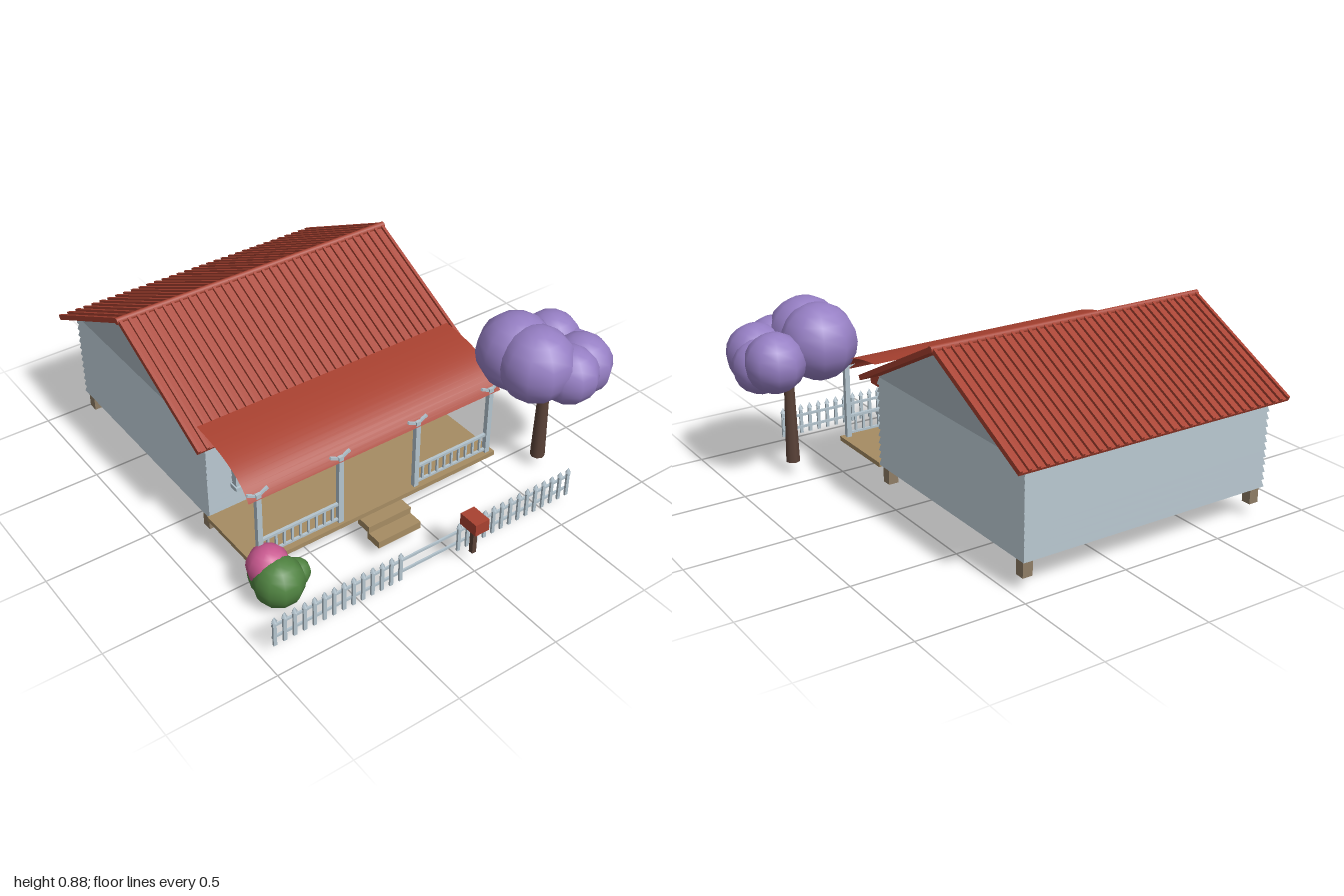
import * as THREE from 'three';

const mat = (name, color, side = THREE.FrontSide) => {
  const m = new THREE.MeshStandardMaterial({ color, side });
  m.name = name;
  return m;
};

export function createModel() {
  const root = new THREE.Group();
  root.name = 'cottage';
  const red = mat('iron red', 0xa84130, THREE.DoubleSide);
  const wall = mat('weatherboard grey', 0xaab8c0);
  const trim = mat('trim pale grey', 0xb4c4ce);
  const glass = mat('window teal', 0x64949a);
  const timber = mat('deck timber', 0xa68c63);
  const stumpMat = mat('stump brown', 0x8f7d66);
  const bark = mat('bark brown', 0x5a4238);
  const purple = mat('blossom purple', 0x967fc4);
  const pink = mat('flower pink', 0xc8588f);
  const green = mat('leaf green', 0x4f8240);

  const group = (name, parent = root) => {
    const g = new THREE.Group();
    g.name = name;
    parent.add(g);
    return g;
  };
  const add = (name, geo, m, parent = root) => {
    const mesh = new THREE.Mesh(geo, m);
    mesh.name = name;
    parent.add(mesh);
    return mesh;
  };
  // box given by its min and max along each axis
  const box = (name, m, x0, x1, y0, y1, z0, z1, parent = root) => {
    const mesh = add(name, new THREE.BoxGeometry(x1 - x0, y1 - y0, z1 - z0), m, parent);
    mesh.position.set((x0 + x1) / 2, (y0 + y1) / 2, (z0 + z1) / 2);
    return mesh;
  };

  const CX = -0.173, CZ = -0.37; // centre of the house

  // weatherboards: each board is a ring that flares out at its lower edge
  const house = group('house');
  const boards = 12, y0 = 0.14, boardH = 0.425 / boards;
  for (let i = 0; i < boards; i++) {
    const geo = new THREE.BoxGeometry(1.28, boardH, 1.14);
    const p = geo.attributes.position;
    for (let k = 0; k < p.count; k++) {
      if (p.getY(k) > 0) {
        p.setX(k, p.getX(k) - Math.sign(p.getX(k)) * 0.009);
        p.setZ(k, p.getZ(k) - Math.sign(p.getZ(k)) * 0.009);
      }
    }
    geo.computeVertexNormals();
    add('weatherboard', geo, wall, house).position.set(CX, y0 + (i + 0.5) * boardH, CZ);
  }

  // gable ends
  const gable = new THREE.Shape([
    new THREE.Vector2(-0.565, 0), new THREE.Vector2(0.565, 0), new THREE.Vector2(0, 0.288)]);
  const gableGeo = new THREE.ExtrudeGeometry(gable, { depth: 1.268, bevelEnabled: false });
  gableGeo.translate(0, 0, -0.634);
  gableGeo.rotateY(Math.PI / 2);
  add('gable', gableGeo, wall, house).position.set(CX, 0.564, CZ);

  // stumps under the corners
  for (const x of [-0.78, 0.432]) for (const z of [0.158, -0.895])
    box('stump', stumpMat, x - 0.024, x + 0.024, 0.06, 0.14, z - 0.024, z + 0.024, house);

  // ribbed iron roof, two mirrored slopes
  const roof = group('roof');
  const run = 0.623, drop = 0.315, len = Math.hypot(run, drop);
  for (const turn of [0, Math.PI]) {
    const side = group('roofSide', roof);
    side.position.set(CX, 0.876, CZ);
    side.rotation.y = turn;
    const slope = group('roofSlope', side);
    slope.rotation.x = Math.atan2(drop, run);
    box('roofSheet', red, -0.7, 0.7, -0.018, -0.006, 0, len, slope);
    const ribs = 34;
    for (let i = 0; i < ribs; i++) {
      const x = -0.693 + (1.386 * i) / (ribs - 1);
      box('roofRib', red, x - 0.007, x + 0.007, -0.008, 0.006, 0, len, slope);
    }
  }
  const ridge = add('ridgeCap', new THREE.CylinderGeometry(0.016, 0.016, 1.415, 8), red, roof);
  ridge.rotation.z = Math.PI / 2;
  ridge.position.set(CX, 0.868, CZ);

  // curved veranda roof: one thin sheet swept along x
  const curve = new THREE.QuadraticBezierCurve3(
    new THREE.Vector3(0, 0.63, 0.18), new THREE.Vector3(0, 0.61, 0.49), new THREE.Vector3(0, 0.48, 0.56));
  const sheet = new THREE.PlaneGeometry(1.315, 1, 1, 14);
  const sp = sheet.attributes.position;
  for (let k = 0; k < sp.count; k++) {
    const c = curve.getPoint(0.5 - sp.getY(k));
    sp.setXYZ(k, sp.getX(k) + CX, c.y, c.z);
  }
  sheet.computeVertexNormals();
  add('verandaRoof', sheet, red);

  // veranda deck and steps
  const veranda = group('veranda');
  box('deck', timber, -0.82, 0.47, 0.128, 0.15, 0.195, 0.57, veranda);
  box('upperStep', timber, -0.285, -0.06, 0.095, 0.128, 0.555, 0.635, veranda);
  box('lowerStep', timber, -0.285, -0.06, 0.06, 0.095, 0.625, 0.705, veranda);

  // posts with forked brackets
  const posts = [-0.78, -0.375, 0.03, 0.437];
  for (const x of posts) {
    box('post', trim, x - 0.012, x + 0.012, 0.15, 0.505, 0.535, 0.558, veranda);
    for (const s of [-1, 1]) {
      const arm = add('bracket', new THREE.BoxGeometry(0.055, 0.011, 0.012), trim, veranda);
      arm.position.set(x + s * 0.025, 0.503, 0.547);
      arm.rotation.z = s * 0.45;
    }
  }
  // railings in the outer bays
  for (const [a, b] of [[posts[0], posts[1]], [posts[2], posts[3]]]) {
    box('handrail', trim, a, b, 0.245, 0.257, 0.54, 0.554, veranda);
    box('bottomRail', trim, a, b, 0.163, 0.173, 0.541, 0.553, veranda);
    for (let i = 1; i < 10; i++) {
      const x = a + ((b - a) * i) / 10;
      box('baluster', trim, x - 0.005, x + 0.005, 0.165, 0.25, 0.542, 0.552, veranda);
    }
  }

  // front door
  box('door', red, -0.25, -0.095, 0.15, 0.45, 0.19, 0.21);
  const knob = add('doorKnob', new THREE.SphereGeometry(0.008, 8, 6), bark);
  knob.position.set(-0.122, 0.295, 0.214);

  // windows: glass, frame bars and sill
  for (const x of [-0.567, 0.227]) {
    const w = group('window');
    w.position.x = x;
    box('glass', glass, -0.1, 0.1, 0.275, 0.49, 0.202, 0.211, w);
    for (const s of [-1, 1])
      box('frameSide', trim, s * 0.11 - 0.012, s * 0.11 + 0.012, 0.27, 0.5, 0.19, 0.23, w);
    box('frameTop', trim, -0.122, 0.122, 0.48, 0.505, 0.19, 0.23, w);
    box('sill', trim, -0.13, 0.13, 0.257, 0.275, 0.19, 0.242, w);
    box('mullion', trim, -0.009, 0.009, 0.27, 0.49, 0.2, 0.222, w);
    box('transom', trim, -0.1, 0.1, 0.395, 0.406, 0.2, 0.22, w);
  }

  // picket fence with an open gap in the middle
  const fence = group('fence');
  const cap = new THREE.ConeGeometry(0.015, 0.028, 4);
  for (const start of [-0.949, -0.018]) {
    for (let i = 0; i < 14; i++) {
      const x = start + i * 0.0478;
      box('picket', trim, x - 0.008, x + 0.008, 0.06, 0.188, 0.902, 0.912, fence);
      add('picketCap', cap, trim, fence).position.set(x, 0.198, 0.907);
    }
  }
  for (const y of [0.095, 0.157])
    box('fenceRail', trim, -0.955, 0.608, y - 0.006, y + 0.006, 0.894, 0.902, fence);

  // letterbox
  const letterbox = group('letterbox');
  box('letterboxBody', red, -0.01, 0.063, 0.2, 0.258, 0.9, 1.0, letterbox);
  box('letterboxPost', bark, 0.016, 0.038, 0.06, 0.2, 0.938, 0.96, letterbox);

  // foliage made of overlapping balls: x, y, z, radius
  const blobs = (name, list, m, parent) => list.forEach(([x, y, z, r]) =>
    add(name, new THREE.SphereGeometry(r, 10, 10), m, parent).position.set(x, y, z));

  const tree = group('tree');
  add('trunk', new THREE.CylinderGeometry(0.023, 0.034, 0.46, 8), bark, tree).position.set(0.695, 0.29, 0.622);
  blobs('treeCrown', [
    [0.57, 0.65, 0.55, 0.18], [0.57, 0.655, 0.68, 0.175], [0.69, 0.6, 0.765, 0.135],
    [0.805, 0.6, 0.52, 0.14], [0.83, 0.56, 0.625, 0.13], [0.80, 0.585, 0.72, 0.145],
  ], purple, tree);

  const bush = group('bush');
  blobs('bushLeaves', [
    [-0.768, 0.113, 0.665, 0.113], [-0.672, 0.1, 0.65, 0.062], [-0.775, 0.105, 0.6, 0.09],
  ], green, bush);
  blobs('bushFlowers', [[-0.775, 0.153, 0.6, 0.095]], pink, bush);

  return root;
}
